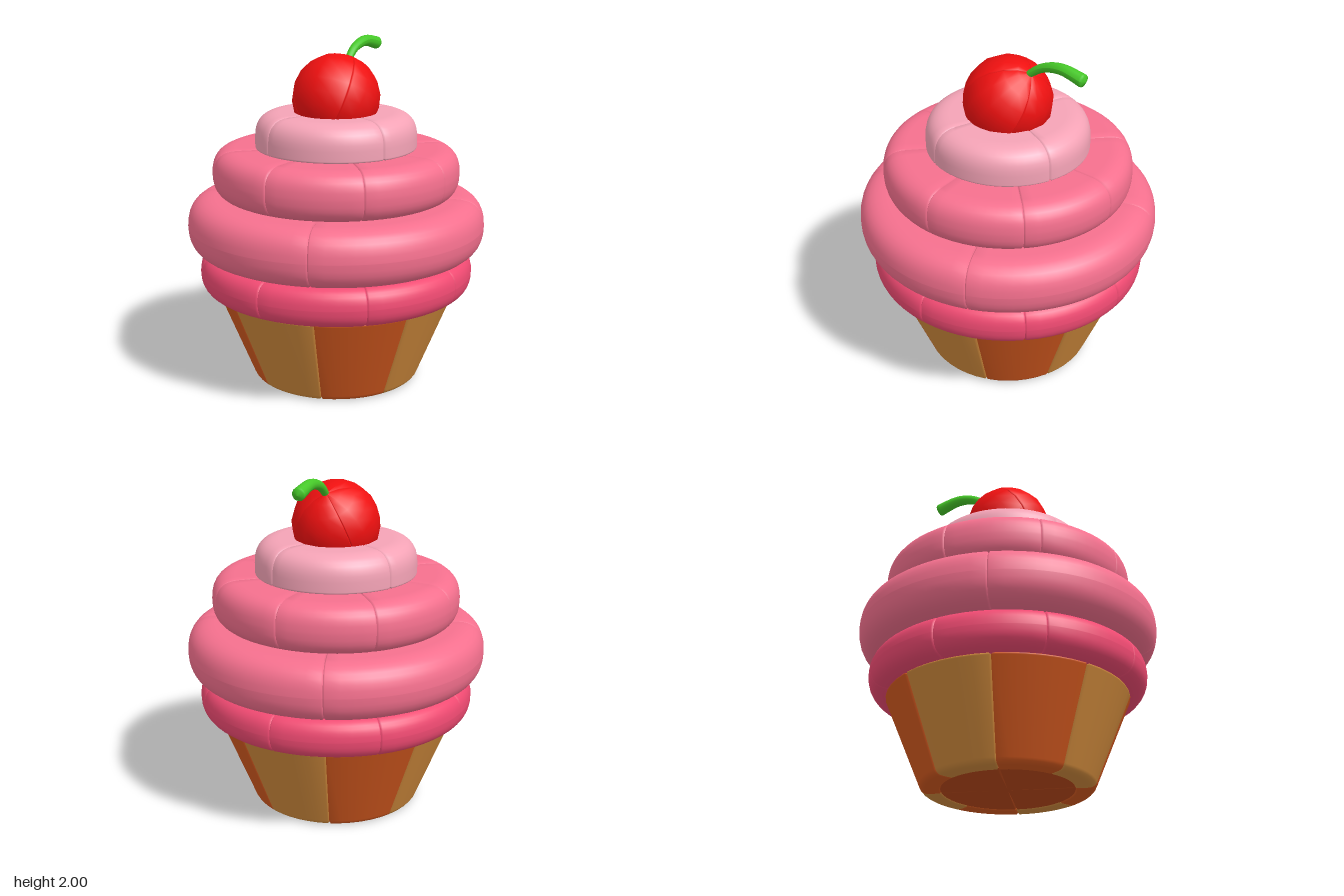
import * as THREE from 'three';

// Polygon profile [radius, y, rounding] from the lower axis outward and up, with softened corners
function roundedProfile(corners) {
  const v = corners.map(([r, y]) => new THREE.Vector2(r, y));
  const path = new THREE.Path();
  path.moveTo(v[0].x, v[0].y);
  for (let i = 1; i < v.length - 1; i++) {
    const round = corners[i][2];
    const a = v[i - 1].clone().sub(v[i]).setLength(round).add(v[i]);
    const b = v[i + 1].clone().sub(v[i]).setLength(round).add(v[i]);
    path.lineTo(a.x, a.y);
    path.quadraticCurveTo(v[i].x, v[i].y, b.x, b.y);
  }
  path.lineTo(v.at(-1).x, v.at(-1).y);
  return path.getPoints(8);
}

// Part of a lathe whose two end columns sink inward, forming half of a groove at each seam
function wedgeGeometry(profile, start, length, segments, groove) {
  const n = profile.length;
  const maxR = Math.max(...profile.map((p) => p.x));
  const bevel = groove / maxR;
  const sunk = profile.map((p, j) => {
    const t = profile[Math.min(j + 1, n - 1)].clone().sub(profile[Math.max(j - 1, 0)]).normalize();
    return new THREE.Vector2(Math.max(0, p.x - t.y * groove), p.y + t.x * groove);
  });
  const columns = segments + 2;
  const geo = new THREE.LatheGeometry(profile, columns, start, length);
  const pos = geo.attributes.position;
  for (let i = 0; i <= columns; i++) {
    const end = i === 0 || i === columns;
    const inner = bevel + ((length - 2 * bevel) * (i - 1)) / segments;
    const a = start + (end ? (i ? length : 0) : inner);
    for (let j = 0; j < n; j++) {
      const p = end ? sunk[j] : profile[j];
      pos.setXYZ(i * n + j, p.x * Math.sin(a), p.y, p.x * Math.cos(a));
    }
  }
  geo.computeVertexNormals();
  return geo;
}

// Ring of equal wedges; colours repeat around it
function wedgeRing(name, profile, count, offset, colors, segments = 48, groove = 0.01) {
  const ring = new THREE.Group();
  ring.name = name;
  const step = (Math.PI * 2) / count;
  const materials = colors.map((color) => new THREE.MeshStandardMaterial({ color }));
  for (let i = 0; i < count; i++) {
    const geo = wedgeGeometry(profile, offset + i * step, step, segments / count, groove);
    const mesh = new THREE.Mesh(geo, materials[i % materials.length]);
    mesh.name = `${name}Wedge`;
    ring.add(mesh);
  }
  return ring;
}

// Tapered, curved stalk with rounded tip
function makeStem() {
  const curve = new THREE.CatmullRomCurve3([
    new THREE.Vector3(0.11, 1.86, -0.05),
    new THREE.Vector3(0.2, 1.935, -0.1),
    new THREE.Vector3(0.31, 1.965, -0.15),
    new THREE.Vector3(0.455, 1.935, -0.215),
  ]);
  const rings = 40, sides = 14;
  const geo = new THREE.TubeGeometry(curve, rings, 1, sides);
  const pos = geo.attributes.position;
  const p = new THREE.Vector3();
  for (let i = 0; i <= rings; i++) {
    const t = i / rings;
    const center = curve.getPointAt(t);
    const cap = Math.sqrt(Math.max(0, 1 - Math.max(0, (t - 0.95) / 0.05) ** 2));
    const radius = (0.02 + 0.019 * t) * cap;
    for (let j = 0; j <= sides; j++) {
      const k = i * (sides + 1) + j;
      p.fromBufferAttribute(pos, k).sub(center).multiplyScalar(radius).add(center);
      pos.setXYZ(k, p.x, p.y, p.z);
    }
  }
  geo.computeVertexNormals();
  const stem = new THREE.Mesh(geo, new THREE.MeshStandardMaterial({ color: 0x46c828 }));
  stem.name = 'stem';
  return stem;
}

// Ball of four wedges, its pole tilted to where the stalk grows
function makeCherry() {
  const profile = [];
  for (let i = 0; i <= 10; i++) {
    const a = (i / 10 - 0.5) * Math.PI;
    profile.push(new THREE.Vector2(Math.max(0, 0.256 * Math.cos(a)), 0.256 * Math.sin(a)));
  }
  const cherry = wedgeRing('cherry', profile, 4, 0, [0xf01010], 16, 0.008);
  const up = new THREE.Vector3(0.13, 0.2, -0.07).normalize();
  const side = new THREE.Vector3().crossVectors(up, new THREE.Vector3(-0.13, -0.05, 0.21)).normalize();
  const front = new THREE.Vector3().crossVectors(side, up);
  cherry.quaternion.setFromRotationMatrix(new THREE.Matrix4().makeBasis(side, up, front));
  cherry.position.y = 1.675;
  return cherry;
}

export function createModel() {
  const model = new THREE.Group();
  model.name = 'cupcake';
  const quarter = Math.PI / 4, eighth = Math.PI / 8;

  // Paper cup with two alternating colours, and its base disc
  const cup = roundedProfile([
    [0.37, 0.03], [0.38, 0, 0.01], [0.485, 0, 0.035], [0.705, 0.54, 0.015], [0, 0.54],
  ]);
  model.add(wedgeRing('cup', cup, 8, 0, [0xd08a3c, 0xd2581e], 48, 0.012));
  const base = roundedProfile([[0, 0.005], [0.38, 0.005, 0.01], [0.38, 0.04]]);
  model.add(wedgeRing('cupBase', base, 4, quarter, [0xb8481a], 48, 0.008));

  // Frosting: bottom, top, radius, lower and upper rounding, wedges, seam offset, colour
  const layers = [
    [0.54, 0.773, 0.803, 0.115, 0.115, 8, eighth, 0xf04a72],
    [0.773, 1.105, 0.87, 0.165, 0.165, 4, quarter, 0xf5708e],
    [1.105, 1.39, 0.72, 0.135, 0.135, 8, eighth, 0xf5708e],
    [1.39, 1.595, 0.47, 0.012, 0.14, 4, 0, 0xf4a3b6],
  ];
  layers.forEach(([y0, y1, r, low, high, count, offset, color], i) => {
    const profile = roundedProfile([[0, y0], [r, y0, low], [r, y1, high], [0, y1]]);
    model.add(wedgeRing(`frostingLayer${i + 1}`, profile, count, offset, [color], 64));
  });

  model.add(makeCherry(), makeStem());
  return model;
}
